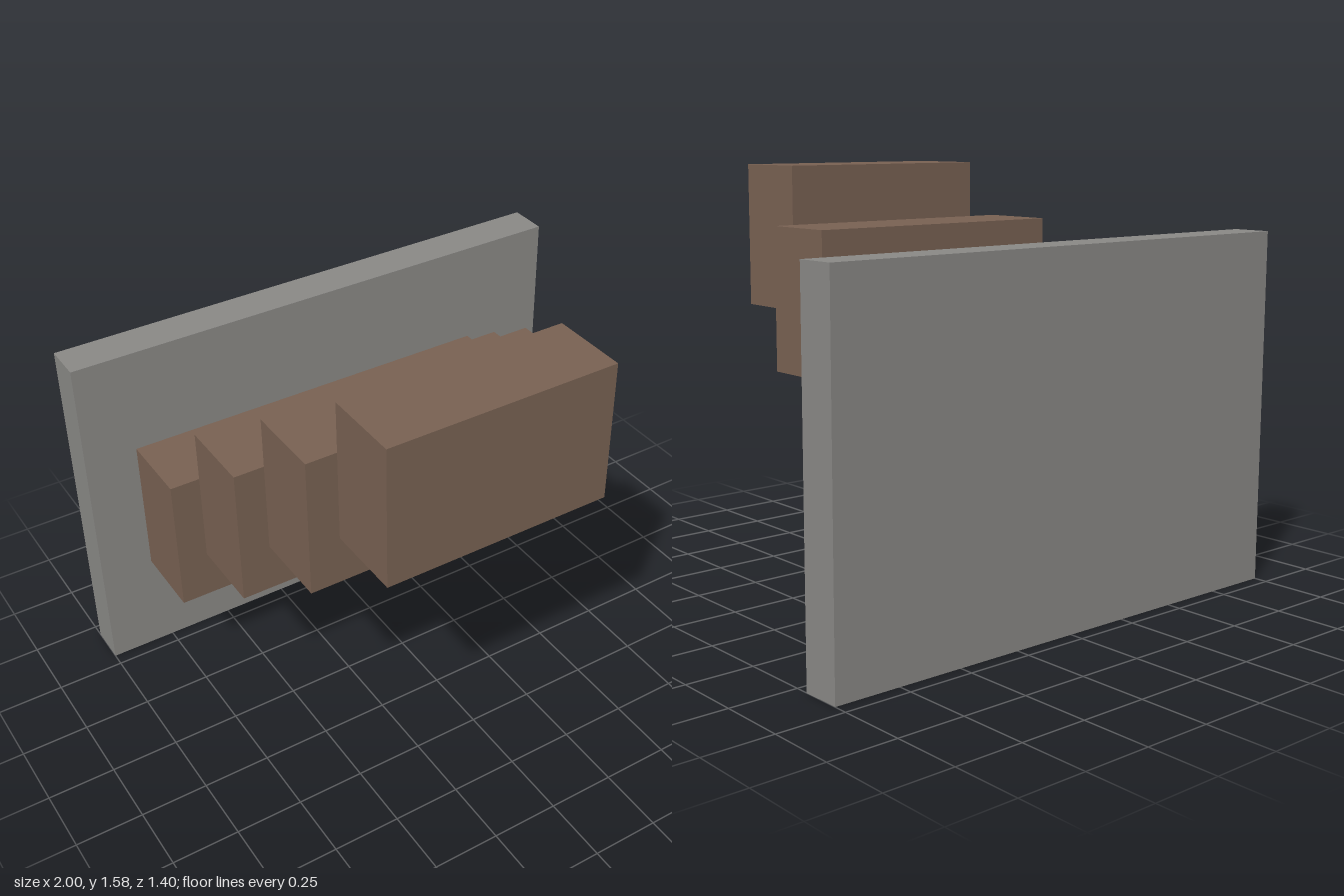
import * as THREE from 'three';

export function createModel() {
  const model = new THREE.Group();
  const stone = new THREE.MeshStandardMaterial({ color: 0x888784 });
  stone.name = 'grey stone';
  const wood = new THREE.MeshStandardMaterial({ color: 0x776051 });
  wood.name = 'brown wood';

  function box(name, material, size, centre) {
    const mesh = new THREE.Mesh(new THREE.BoxGeometry(...size), material);
    mesh.name = name;
    mesh.position.set(...centre);
    model.add(mesh);
  }

  // upright slab at the back
  box('backWall', stone, [2, 1.335, 0.148], [0, 0.6675, -0.624]);

  // floating steps, rising and narrowing towards the front
  for (let i = 0; i < 4; i++) {
    box(`step${i + 1}`, wood,
      [1.465 - 0.2 * i, 0.534, 0.292],
      [-0.068, 0.668 + 0.2135 * i, -0.408 + 0.32 * i]);
  }
  return model;
}
